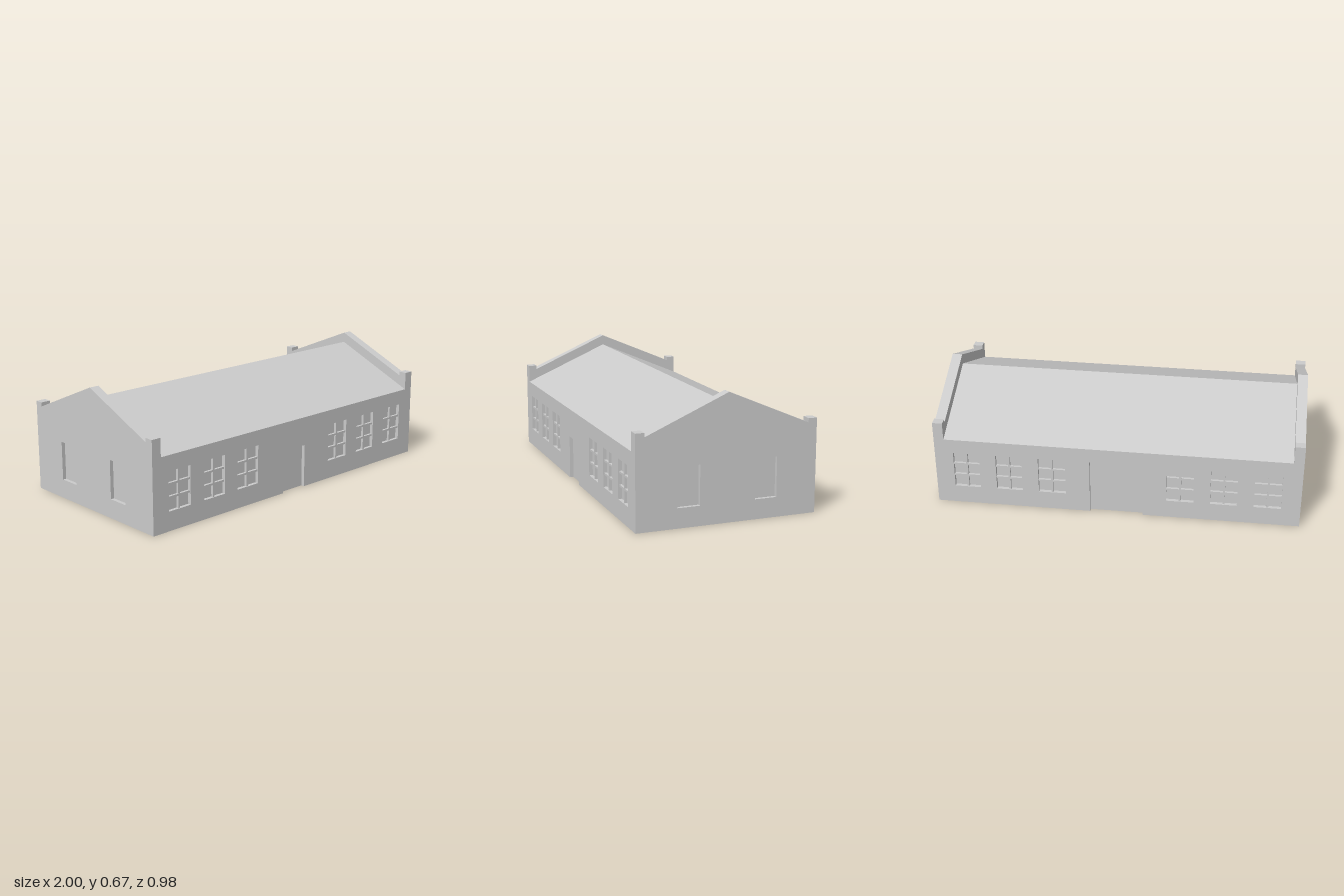
import * as THREE from 'three';

const L = 1, W = 0.49;          // half length and half width
const EAVE = 0.4, RIDGE = 0.61; // roof heights
const INNER = 0.945;            // inner face of the gable parapets
const DEPTH = 0.02;             // depth of the window and door recesses
const SILL = 0.105, HEAD = 0.317;

const mat = new THREE.MeshStandardMaterial({
  color: 0xcccccc, flatShading: true, side: THREE.DoubleSide,
});

function add(parent, geometry, name) {
  const mesh = new THREE.Mesh(geometry, mat);
  mesh.name = name;
  parent.add(mesh);
  return mesh;
}

const toShape = (pts) => new THREE.Shape(pts.map(([x, y]) => new THREE.Vector2(x, y)));
const rect = (x0, x1, y0, y1) => [[x0, y0], [x1, y0], [x1, y1], [x0, y1]];

// Sheet swept along z from z0 to z1, following an open path in x and y
function ribbon(path, z0, z1) {
  const pos = [];
  for (let i = 0; i + 1 < path.length; i++) {
    const [a, b] = path[i], [c, d] = path[i + 1];
    pos.push(a, b, z0, a, b, z1, c, d, z1, a, b, z0, c, d, z1, c, d, z0);
  }
  const g = new THREE.BufferGeometry();
  g.setAttribute('position', new THREE.Float32BufferAttribute(pos, 3));
  g.computeVertexNormals();
  return g;
}

// Sunken panel with its reveals; doors have no sill
function recess(parent, x0, x1, y0, y1, name) {
  const corners = rect(x0, x1, y0, y1);
  const panel = add(parent, new THREE.ShapeGeometry(toShape(corners)), name + 'Panel');
  panel.position.z = -DEPTH;
  const path = [corners[1], corners[2], corners[3], corners[0]];
  if (y0 > 0) path.push(corners[1]);
  add(parent, ribbon(path, -DEPTH, 0), name + 'Reveal');
}

// Glazing bars: one upright and two rails running a little past the sides
function glazingBars(parent, x0, x1) {
  const t = 0.011, d = 0.014, z = -DEPTH + d / 2;
  const cx = (x0 + x1) / 2, w = x1 - x0, h = HEAD - SILL;
  add(parent, new THREE.BoxGeometry(t, h, d), 'windowUpright')
    .position.set(cx, SILL + h / 2, z);
  for (const k of [1, 2]) {
    add(parent, new THREE.BoxGeometry(w + 0.03, t, d), 'windowRail')
      .position.set(cx, SILL + (h * k) / 3, z);
  }
}

const WINDOWS = [
  [-0.898, -0.754], [-0.663, -0.519], [-0.428, -0.278],
  [0.273, 0.423], [0.513, 0.658], [0.749, 0.895],
];

// Long wall facing local +z, with six windows and a central door
function longWall(name, d0, d1, doorTop) {
  const g = new THREE.Group();
  g.name = name;
  const shape = toShape([
    [-L, 0], [d0, 0], [d0, doorTop], [d1, doorTop], [d1, 0], [L, 0],
    [L, 0.5], [INNER, 0.5], [INNER, EAVE], [-INNER, EAVE], [-INNER, 0.5], [-L, 0.5],
  ]);
  for (const [x0, x1] of WINDOWS) {
    shape.holes.push(toShape(rect(x0, x1, SILL, HEAD).reverse()));
    recess(g, x0, x1, SILL, HEAD, 'window');
    glazingBars(g, x0, x1);
  }
  recess(g, d0, d1, 0, doorTop, 'door');
  add(g, new THREE.ShapeGeometry(shape), 'wallFace');
  return g;
}

// Gable end facing local +z, with a raised parapet and corner blocks
function gableEnd(name) {
  const g = new THREE.Group();
  g.name = name;
  const coping = [
    [W, 0.5], [0.443, 0.5], [0.443, 0.478], [0, 0.668],
    [-0.443, 0.478], [-0.443, 0.5], [-W, 0.5],
  ];
  const face = toShape([[-W, 0], [W, 0], ...coping]);
  for (const [x0, x1] of [[-0.27, -0.15], [0.15, 0.27]]) {
    face.holes.push(toShape(rect(x0, x1, SILL, HEAD).reverse()));
    recess(g, x0, x1, SILL, HEAD, 'gableWindow');
  }
  add(g, new THREE.ShapeGeometry(face), 'gableFace');
  add(g, ribbon(coping, INNER - L, 0), 'parapetTop');
  // Inner side of the parapet, above the roof
  const band = toShape([[0, RIDGE], [W, EAVE], ...coping, [-W, EAVE]]);
  const inner = add(g, new THREE.ShapeGeometry(band), 'parapetInside');
  inner.rotation.y = Math.PI;
  inner.position.z = INNER - L;
  return g;
}

export function createModel() {
  const model = new THREE.Group();
  model.name = 'building';

  const front = longWall('frontWall', -0.086, 0.08, 0.24);
  front.position.z = W;
  const back = longWall('backWall', -0.145, 0.145, HEAD);
  back.rotation.y = Math.PI;
  back.position.z = -W;
  model.add(front, back);

  for (const side of [1, -1]) {
    const gable = gableEnd(side > 0 ? 'leftGable' : 'rightGable');
    gable.rotation.y = (side * Math.PI) / 2;
    gable.position.x = side * L;
    model.add(gable);
  }

  // Two thin roof slopes between the parapets
  const roof = add(model, ribbon([[W, EAVE], [0, RIDGE], [-W, EAVE]], -INNER, INNER), 'roof');
  roof.rotation.y = Math.PI / 2;
  return model;
}
